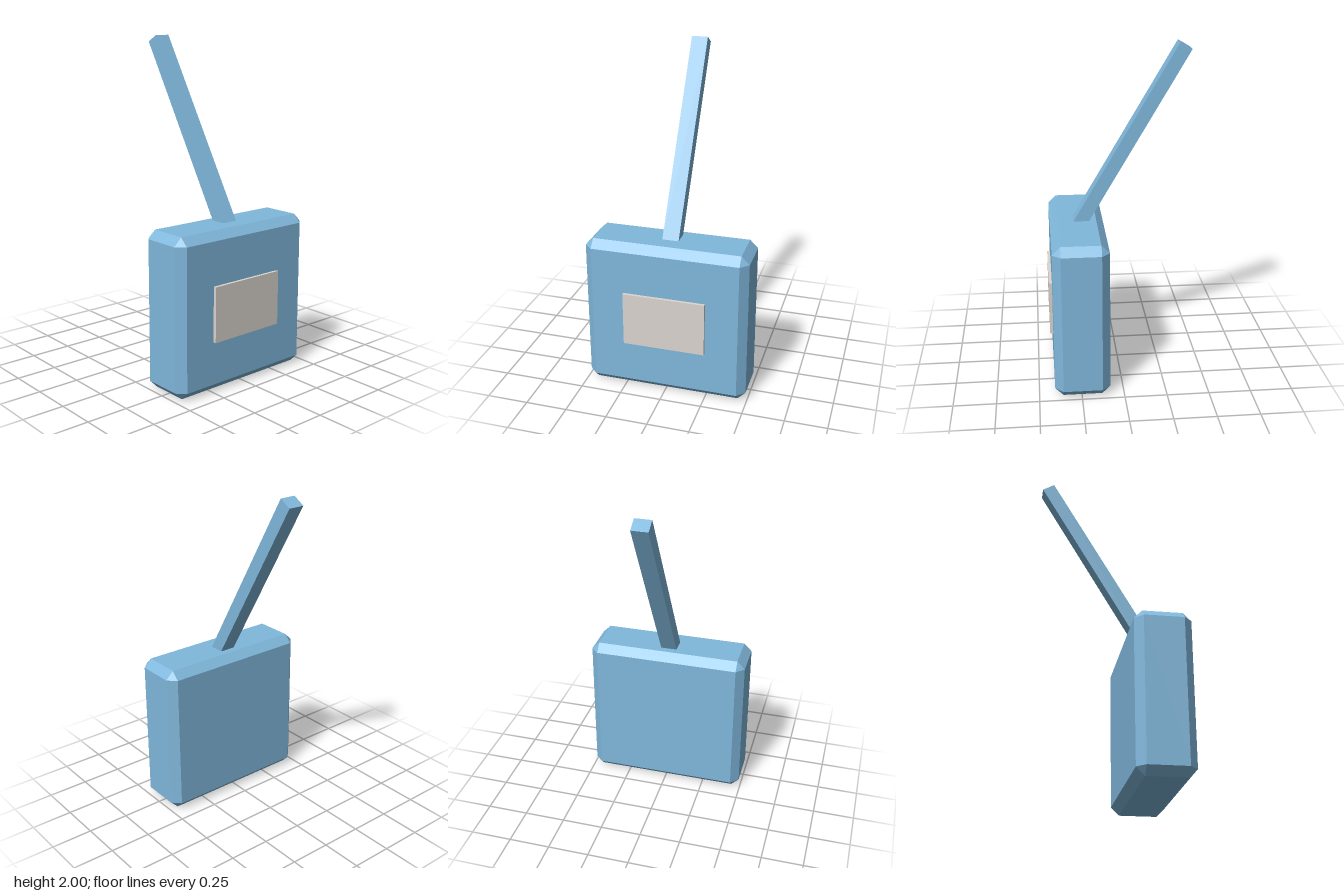
import * as THREE from 'three';
import { ConvexGeometry } from 'three/addons/geometries/ConvexGeometry.js';

// Box with every edge cut at 45 degrees
function chamferedBox(w, h, d, c) {
  const points = [];
  for (const sx of [-1, 1]) for (const sy of [-1, 1]) for (const sz of [-1, 1]) {
    for (let axis = 0; axis < 3; axis++) {
      const p = [w / 2, h / 2, d / 2].map((v, i) => (i === axis ? v : v - c));
      points.push(new THREE.Vector3(sx * p[0], sy * p[1], sz * p[2]));
    }
  }
  return new ConvexGeometry(points);
}

export function createModel() {
  const model = new THREE.Group();
  const blue = new THREE.MeshStandardMaterial({ color: 0x80b8dc });
  blue.name = 'blue';
  const lightGrey = new THREE.MeshStandardMaterial({ color: 0xdbd5cf });
  lightGrey.name = 'light grey';

  const add = (name, geometry, material, x, y, z) => {
    const mesh = new THREE.Mesh(geometry, material);
    mesh.name = name;
    mesh.position.set(x, y, z);
    model.add(mesh);
    return mesh;
  };

  // Housing block
  add('housing', chamferedBox(0.326, 0.943, 0.98, 0.048), blue, 0.244, 0.4715, 0);

  // Plate on the left face
  add('facePlate', new THREE.BoxGeometry(0.027, 0.33, 0.494), lightGrey, 0.4115, 0.47, 0);

  // Slanted arm, its lower end sunk into the housing
  const length = 1.25;
  const tilt = 0.531;
  const arm = add('arm', new THREE.BoxGeometry(0.081, length, 0.098), blue,
    -0.39 + Math.sin(tilt) * length / 2, 1.98 - Math.cos(tilt) * length / 2, 0);
  arm.rotation.z = tilt;

  return model;
}
